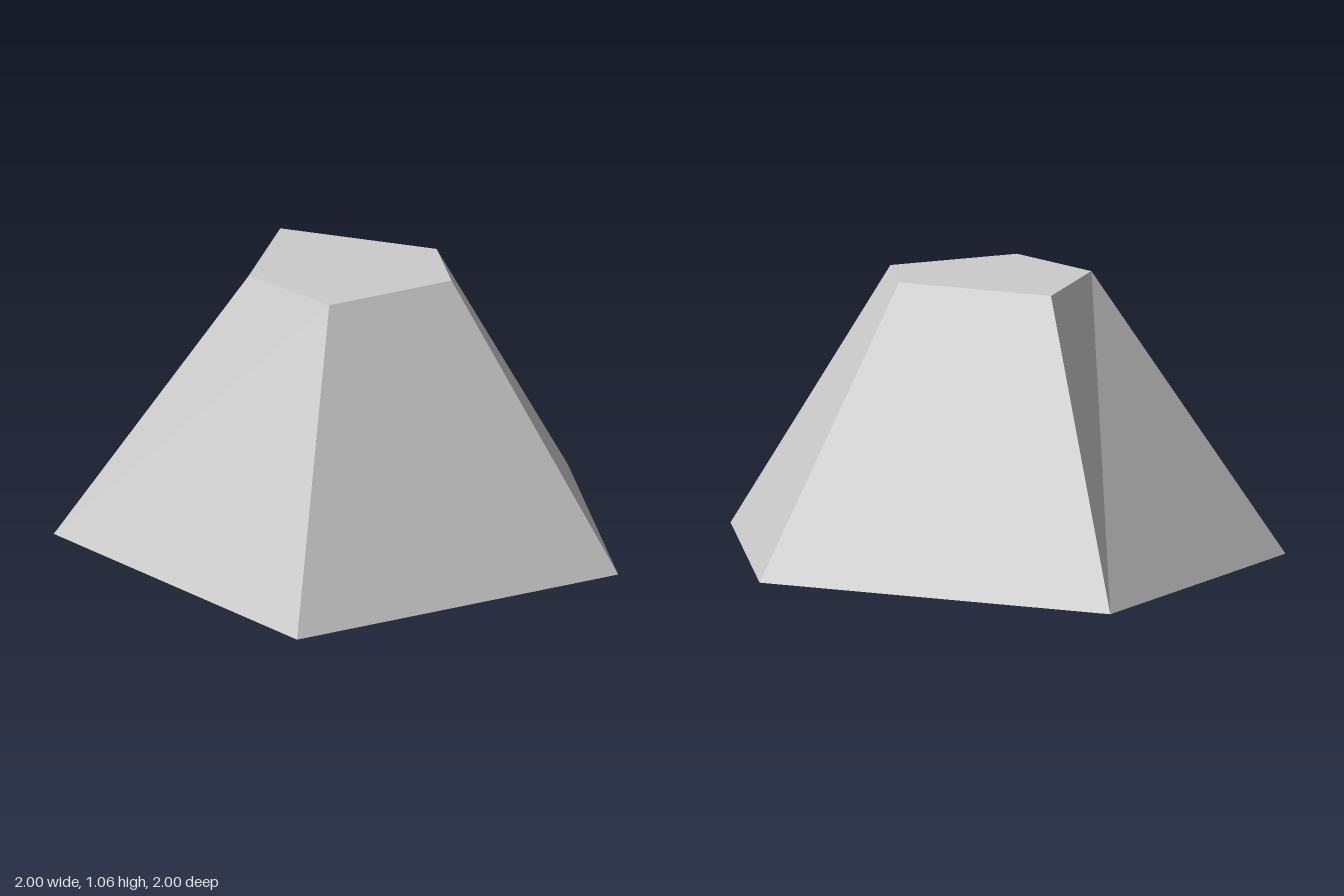
import * as THREE from 'three';

const HEIGHT = 1.06;
// Pentagon outlines [x, z], clockwise seen from above, starting at the back corner
const BASE = [[0, -1], [1, 0], [0.705, 1], [-0.635, 1], [-1, -0.285]];
const TOP = [[-0.06, -0.275], [0.373, 0.158], [0.29, 0.445], [-0.22, 0.445], [-0.362, 0.063]];

// Loft between two outlines with flat caps; every triangle has its own corners
function frustum(base, top, height) {
  const low = base.map(([x, z]) => [x, 0, z]);
  const high = top.map(([x, z]) => [x, height, z]);
  const positions = [];
  const tri = (...corners) => corners.forEach((c) => positions.push(...c));
  const n = low.length;
  for (let i = 0; i < n; i++) {
    const j = (i + 1) % n;
    tri(low[j], low[i], high[i]);
    tri(low[j], high[i], high[j]);
  }
  for (let i = 1; i < n - 1; i++) {
    tri(high[0], high[i + 1], high[i]);
    tri(low[0], low[i], low[i + 1]);
  }
  const geometry = new THREE.BufferGeometry();
  geometry.setAttribute('position', new THREE.Float32BufferAttribute(positions, 3));
  geometry.computeVertexNormals();
  return geometry;
}

export function createModel() {
  const model = new THREE.Group();
  model.name = 'pentagonalFrustum';

  const grey = new THREE.MeshStandardMaterial({ color: 0xcccccc });
  grey.name = 'light grey';
  grey.flatShading = true;

  // Irregular five-sided block tapering to a small flat top
  const block = new THREE.Mesh(frustum(BASE, TOP, HEIGHT), grey);
  block.name = 'taperedBlock';
  model.add(block);

  return model;
}
